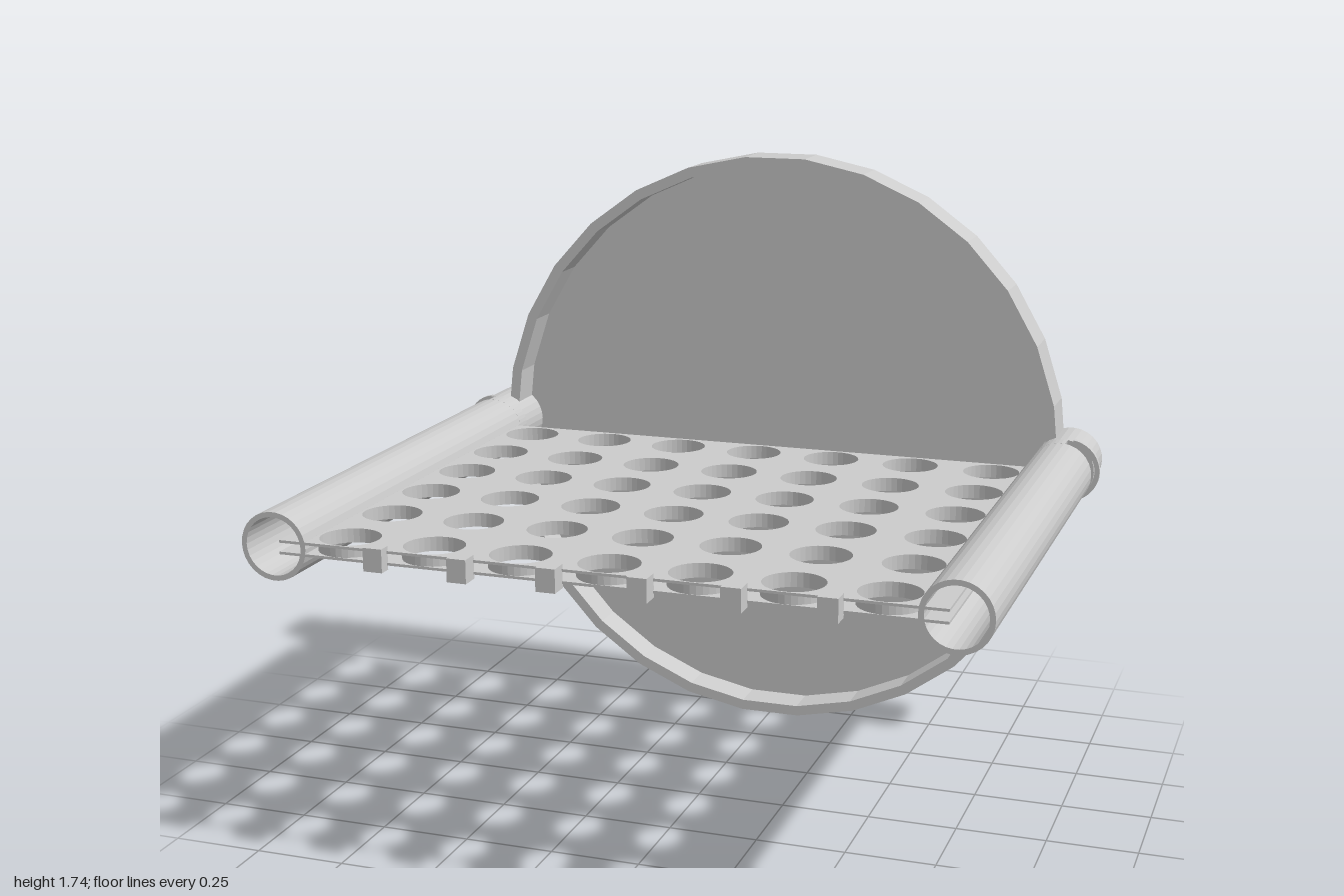
import * as THREE from 'three';

const MID = 0.872; // height of the shelf and of the disc centre
const material = new THREE.MeshStandardMaterial({ color: 0xcccccc, flatShading: true });

function addMesh(parent, name, geometry) {
  const mesh = new THREE.Mesh(geometry, material);
  mesh.name = name;
  parent.add(mesh);
  return mesh;
}

// Extrudes a shape along z from z0 to z1
function prism(shape, z0, z1, segments = 15) {
  return new THREE.ExtrudeGeometry(shape, { depth: z1 - z0, bevelEnabled: false, curveSegments: segments })
    .translate(0, 0, z0);
}

function disc(r) {
  return new THREE.Shape().absarc(0, 0, r, 0, Math.PI * 2);
}

function ring(outer, inner) {
  const shape = disc(outer);
  shape.holes.push(new THREE.Path().absarc(0, 0, inner, 0, Math.PI * 2, true));
  return shape;
}

function ringSector(outer, inner, a0, a1) {
  const shape = new THREE.Shape();
  shape.absarc(0, 0, outer, a0, a1);
  shape.absarc(0, 0, inner, a1, a0, true);
  shape.closePath();
  return shape;
}

// Shallow round pan standing upright at the back
function makeBackPan() {
  const pan = new THREE.Group();
  pan.name = 'backPan';
  pan.position.y = MID - 0.002;
  addMesh(pan, 'panRim', prism(ring(0.875, 0.844), -0.82, -0.69));
  addMesh(pan, 'panFloor', prism(disc(0.86), -0.819, -0.79));
  return pan;
}

// Hollow side rail with a slot cut in its outer half and a lip behind the slot
function makeRail(side) {
  const rail = new THREE.Group();
  rail.name = side > 0 ? 'leftRail' : 'rightRail';
  rail.position.set(side * 0.892, MID, 0);
  const R = 0.092, r = 0.078;
  const cut = THREE.MathUtils.degToRad(82);
  const turn = side > 0 ? 0 : Math.PI;
  addMesh(rail, 'railTube', prism(ring(R, r), -0.615, 0.77));
  addMesh(rail, 'railEnd', prism(ring(R, r), -0.82, -0.663));
  addMesh(rail, 'slotBridge', prism(ringSector(R, r, turn + cut, turn + 2 * Math.PI - cut), -0.663, -0.615));
  const lip = addMesh(rail, 'slotLip', prism(ringSector(R, r, turn - cut, turn + cut), -0.68, -0.663));
  lip.position.x = side * 0.016;
  return rail;
}

// Perforated double-skinned shelf between the rails
function makeShelf() {
  const shelf = new THREE.Group();
  shelf.name = 'shelf';
  shelf.position.y = MID;
  const half = 0.875, front = 0.77, back = -0.595, holeR = 0.08, pitch = 0.238;
  const thick = 0.038, skin = 0.007;

  const centres = [];
  for (let i = -3; i <= 3; i++) {
    for (let j = 0; j < 6; j++) centres.push([i * pitch, 0.686 - j * pitch]);
  }

  // Shape y becomes -z once the skin is laid flat
  const outline = new THREE.Shape();
  outline.moveTo(-half, -front);
  outline.lineTo(half, -front);
  outline.lineTo(half, -back);
  outline.lineTo(-half, -back);
  outline.closePath();
  for (const [x, z] of centres) {
    outline.holes.push(new THREE.Path().absarc(x, -z, holeR, 0, Math.PI * 2, true));
  }
  const skinGeometry = prism(outline, 0, skin, 16).rotateX(-Math.PI / 2);
  addMesh(shelf, 'topSkin', skinGeometry).position.y = thick / 2 - skin;
  addMesh(shelf, 'bottomSkin', skinGeometry).position.y = -thick / 2;

  // Sleeves lining the holes between the skins
  const core = thick - 2 * skin;
  const sleeve = prism(ring(holeR + 0.003, holeR), -core / 2, core / 2, 16).rotateX(-Math.PI / 2);
  for (const [x, z] of centres) addMesh(shelf, 'holeSleeve', sleeve).position.set(x, 0, z);

  // Closing strip along the back edge
  addMesh(shelf, 'backStrip', new THREE.BoxGeometry(2 * half, core, 0.01)).position.z = back + 0.005;

  // Tabs between the columns of holes
  for (let i = 0; i < 6; i++) {
    const end = i === 0 ? 0.8 : 0.815;
    const tab = addMesh(shelf, 'frontTab', new THREE.BoxGeometry(0.052, 0.062, end - 0.765));
    tab.position.set((i - 2.5) * pitch, 0, (end + 0.765) / 2);
  }
  return shelf;
}

export function createModel() {
  const model = new THREE.Group();
  model.name = 'perforatedShelfWithPan';
  model.add(makeBackPan(), makeRail(1), makeRail(-1), makeShelf());
  return model;
}
